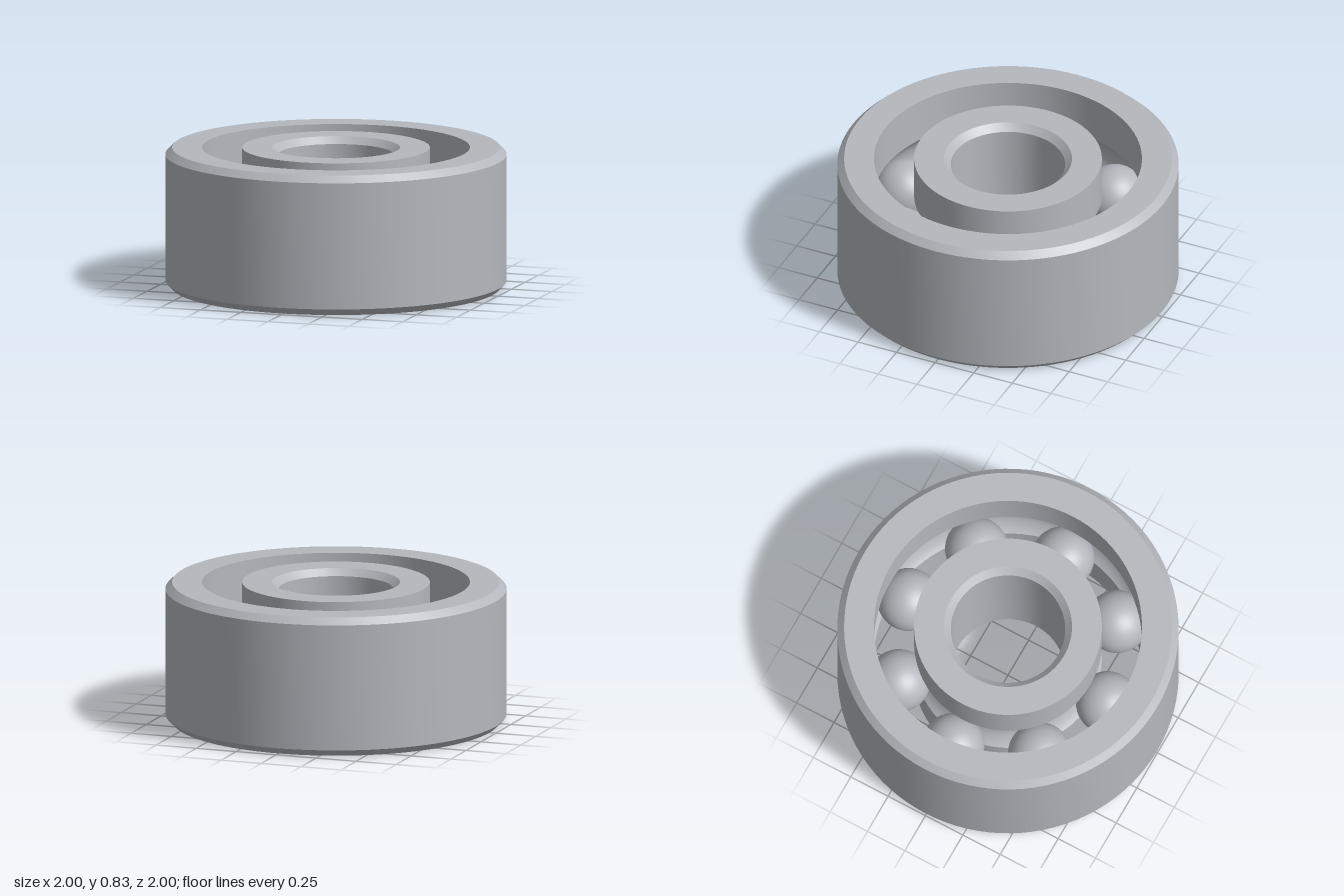
import * as THREE from 'three';
import { toCreasedNormals } from 'three/addons/utils/BufferGeometryUtils.js';

const HEIGHT = 0.83, MID = HEIGHT / 2;
const PITCH = 0.665, BALL = 0.185, GROOVE = 0.187; // ball circle, ball and raceway radii
const CHAMFER = 0.04, BALLS = 8;

// Raceway arc cut into a wall of radius wallR, from startSide (+1 top, -1 bottom) to the other side
function raceway(wallR, startSide) {
  const side = Math.sign(wallR - PITCH);
  const limit = Math.acos(Math.abs(wallR - PITCH) / GROOVE);
  const points = [];
  for (let i = 0; i <= 16; i++) {
    const t = startSide * limit * (1 - i / 8);
    points.push([PITCH + side * GROOVE * Math.cos(t), MID + GROOVE * Math.sin(t)]);
  }
  return points;
}

// Closed ring turned from a cross-section, keeping its edges sharp
function turnedRing(name, profile, material) {
  const points = [...profile, profile[0]].map(([r, y]) => new THREE.Vector2(r, y));
  const geometry = toCreasedNormals(new THREE.LatheGeometry(points, 96), 0.5);
  const mesh = new THREE.Mesh(geometry, material);
  mesh.name = name;
  return mesh;
}

export function createModel() {
  const group = new THREE.Group();
  group.name = 'ballBearing';
  const steel = new THREE.MeshStandardMaterial({ color: 0xb4b8be });
  steel.name = 'steel';

  // Outer ring: chamfered outside, raceway inside
  group.add(turnedRing('outerRing', [
    [0.785, 0], [1 - CHAMFER, 0], [1, CHAMFER],
    [1, HEIGHT - CHAMFER], [1 - CHAMFER, HEIGHT], [0.785, HEIGHT],
    ...raceway(0.785, 1),
  ], steel));

  // Inner ring: raceway outside, chamfered bore
  group.add(turnedRing('innerRing', [
    [0.335 + CHAMFER, 0], [0.55, 0],
    ...raceway(0.55, -1),
    [0.55, HEIGHT], [0.335 + CHAMFER, HEIGHT],
    [0.335, HEIGHT - CHAMFER], [0.335, CHAMFER],
  ], steel));

  // Balls spaced evenly in the raceway
  const balls = new THREE.Group();
  balls.name = 'balls';
  const ballGeometry = new THREE.SphereGeometry(BALL, 40, 24);
  for (let i = 0; i < BALLS; i++) {
    const angle = (i / BALLS) * Math.PI * 2;
    const ball = new THREE.Mesh(ballGeometry, steel);
    ball.name = `ball${i + 1}`;
    ball.position.set(PITCH * Math.cos(angle), MID, PITCH * Math.sin(angle));
    balls.add(ball);
  }
  group.add(balls);

  return group;
}
